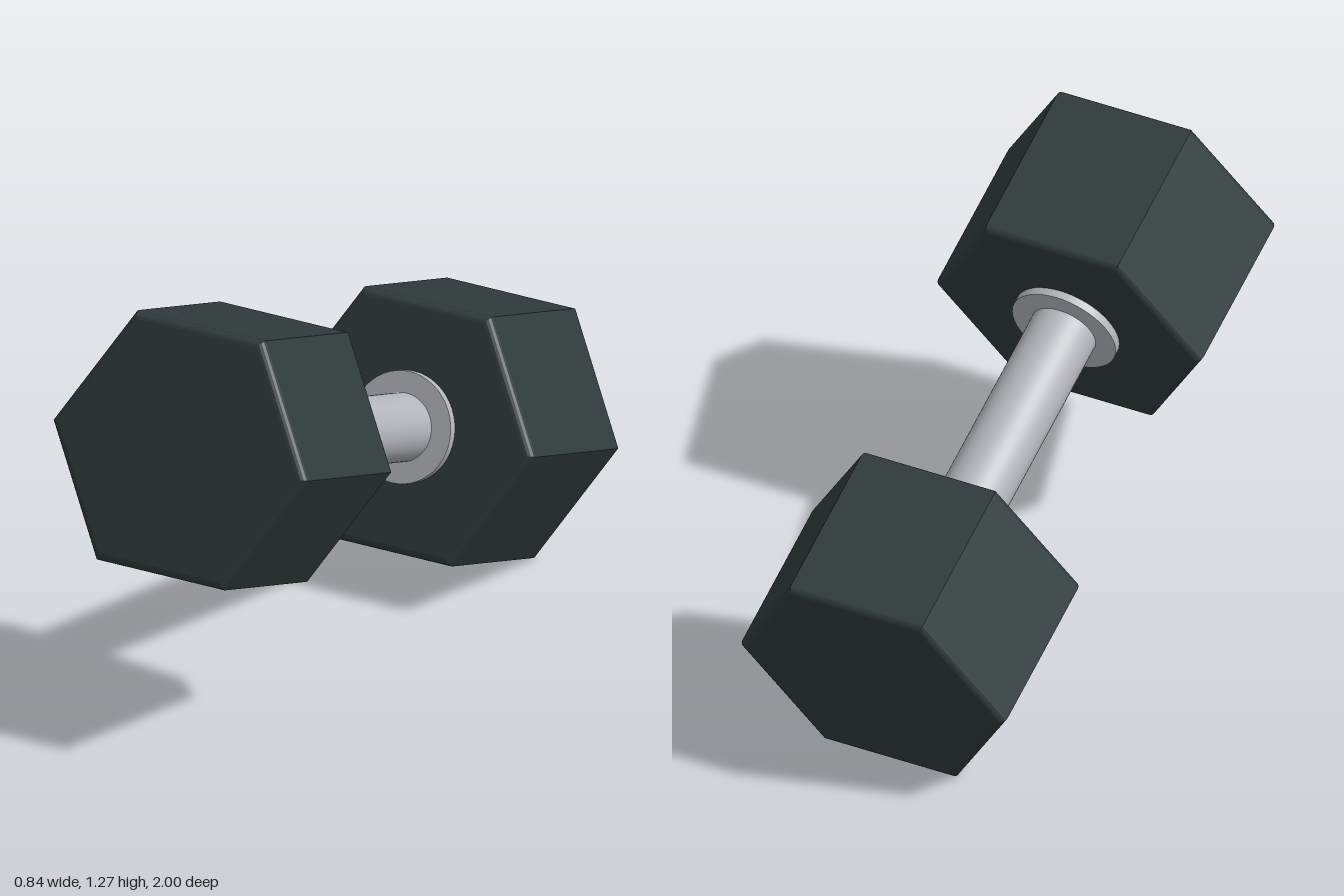
import * as THREE from 'three';

const TILT = THREE.MathUtils.degToRad(18.3);
const HEX_R = 0.422, OUTER = 0.938, INNER = 0.41, BEVEL = 0.022;

export function createModel() {
  const rubber = new THREE.MeshStandardMaterial({ color: 0x2f3a3a });
  rubber.name = 'dark rubber';
  const steel = new THREE.MeshStandardMaterial({ color: 0xb3b5ba });
  steel.name = 'brushed steel';

  const model = new THREE.Group();
  model.name = 'dumbbell';
  const bar = new THREE.Group();
  bar.name = 'tiltedDumbbell';
  bar.position.y = 0.637;
  bar.rotation.x = -TILT;
  model.add(bar);

  const add = (name, geometry, material, z) => {
    const mesh = new THREE.Mesh(geometry, material);
    mesh.name = name;
    mesh.position.z = z;
    bar.add(mesh);
  };

  // Hexagonal weight with sharp long edges and rounded end rims
  const corners = [];
  for (let i = 0; i < 6; i++) {
    const a = (i * Math.PI) / 3;
    corners.push(new THREE.Vector2(HEX_R * Math.cos(a), HEX_R * Math.sin(a)));
  }
  const head = new THREE.ExtrudeGeometry(new THREE.Shape(corners), {
    depth: OUTER - INNER - 2 * BEVEL,
    bevelThickness: BEVEL,
    bevelSize: BEVEL,
    bevelOffset: -BEVEL,
    bevelSegments: 4,
  });
  head.center();

  // Thin steel collar against the inner face of each weight
  const collar = new THREE.CylinderGeometry(0.163, 0.163, 0.035, 48).rotateX(Math.PI / 2);

  for (const [side, s] of [['front', 1], ['back', -1]]) {
    add(side + 'Weight', head, rubber, s * (OUTER + INNER) / 2);
    add(side + 'Collar', collar, steel, s * 0.4025);
  }

  // Handle running into both weights
  add('handle', new THREE.CylinderGeometry(0.1, 0.1, 0.9, 48).rotateX(Math.PI / 2), steel, 0);

  return model;
}
